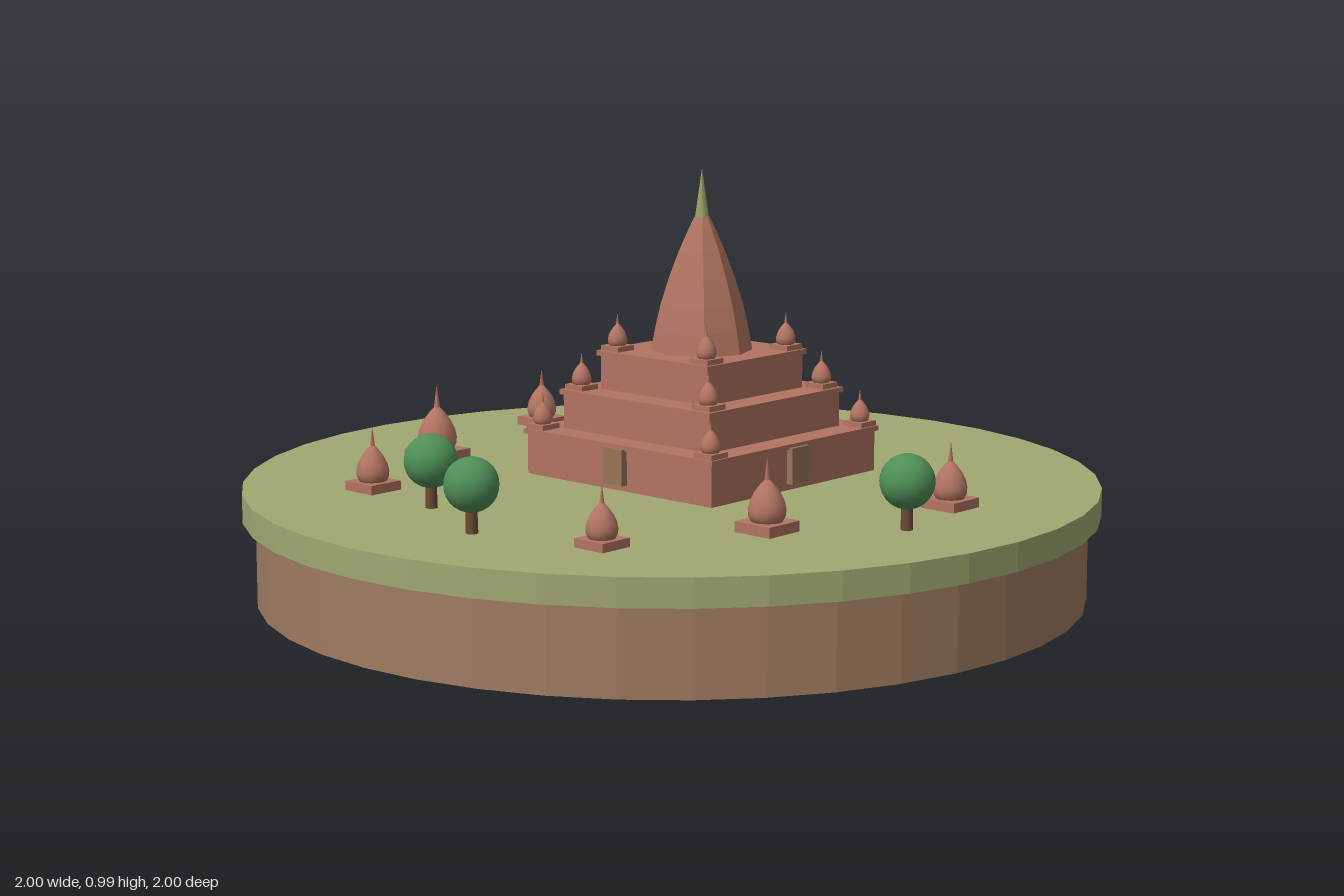
import * as THREE from 'three';

const mat = (name, color, flatShading = false) => {
  const m = new THREE.MeshStandardMaterial({ color, flatShading });
  m.name = name;
  return m;
};

export function createModel() {
  const brick = mat('brick', 0xb27462);
  const earth = mat('earth', 0xa07c60);
  const grass = mat('grass', 0xa0a872);
  const finialColor = mat('finial olive', 0x9ca468);
  const leaf = mat('leaf green', 0x4f8f57);
  const bark = mat('bark', 0x6b4a38);
  const doorColor = mat('door wood', 0x98755a);

  const model = new THREE.Group();
  model.name = 'templeIsland';
  const GROUND = 0.265;

  const add = (parent, name, geo, material, x = 0, y = 0, z = 0) => {
    const mesh = new THREE.Mesh(geo, material);
    mesh.name = name;
    mesh.position.set(x, y, z);
    parent.add(mesh);
    return mesh;
  };
  const lathe = (pts, sides) =>
    new THREE.LatheGeometry(pts.map(([r, y]) => new THREE.Vector2(r, y)), sides);
  // flat-faced geometry with separate normals per facet
  const faceted = (geo) => {
    const g = geo.toNonIndexed();
    g.computeVertexNormals();
    return g;
  };

  // round island
  add(model, 'earthBase', faceted(new THREE.CylinderGeometry(0.97, 0.97, 0.2, 40)), earth, 0, 0.1, 0);
  add(model, 'grassDisc', faceted(new THREE.CylinderGeometry(1, 1, 0.065, 40)), grass, 0, 0.2325, 0);

  // small shrine: square plinth, egg-shaped bell, thin spike; s is the plinth width
  const bell = lathe([[0, 0.22], [0.34, 0.22], [0.41, 0.36], [0.42, 0.5], [0.38, 0.68],
    [0.29, 0.87], [0.17, 1.03], [0.06, 1.15], [0, 1.18]], 16);
  const plinth = new THREE.BoxGeometry(1, 0.24, 1);
  const spike = new THREE.ConeGeometry(0.07, 0.54, 8);
  const stupa = (parent, name, s, x, y, z) => {
    const g = new THREE.Group();
    g.name = name;
    add(g, 'plinth', plinth, brick, 0, 0.12, 0);
    add(g, 'bell', bell, brick);
    add(g, 'spike', spike, brick, 0, 1.38, 0);
    g.scale.setScalar(s);
    g.position.set(x, y, z);
    parent.add(g);
  };

  // stepped temple with corner shrines on each terrace
  const temple = new THREE.Group();
  temple.name = 'temple';
  temple.position.z = -0.105;
  model.add(temple);
  const tiers = [
    [0.29, GROUND, 0.372, 0.265],
    [0.23, 0.372, 0.465, 0.2],
    [0.168, 0.465, 0.557, 0.14],
  ];
  tiers.forEach(([half, y0, y1, corner], i) => {
    add(temple, `terrace${i + 1}`, new THREE.BoxGeometry(half * 2, y1 - y0, half * 2), brick, 0, (y0 + y1) / 2, 0);
    const w = half * 2 + 0.014;
    add(temple, `cornice${i + 1}`, new THREE.BoxGeometry(w, 0.012, w), brick, 0, y1 - 0.005, 0);
    for (const sx of [-1, 1])
      for (const sz of [-1, 1]) stupa(temple, 'cornerShrine', 0.055, sx * corner, y1, sz * corner);
  });

  // a door on each side of the lowest terrace
  for (let i = 0; i < 4; i++) {
    const a = (i * Math.PI) / 2;
    const door = add(temple, 'door', new THREE.BoxGeometry(0.06, 0.085, 0.03), doorColor,
      Math.sin(a) * 0.292, 0.3225, Math.cos(a) * 0.292);
    door.rotation.y = a;
  }

  // eight-sided curved tower and its finial
  add(temple, 'tower', faceted(lathe([[0.12, 0.555], [0.11, 0.61], [0.096, 0.67], [0.077, 0.73],
    [0.055, 0.79], [0.033, 0.84], [0.018, 0.872], [0, 0.875]], 8)), brick);
  add(temple, 'finial', new THREE.ConeGeometry(0.017, 0.12, 8), finialColor, 0, 0.927, 0);

  // shrines scattered on the grass
  [
    [-0.71, -0.283, 0.088], [-0.57, 0.215, 0.112], [-0.417, 0.562, 0.09],
    [0.68, -0.18, 0.092], [0.54, 0.285, 0.1], [0.38, 0.633, 0.083],
  ].forEach(([x, z, s]) => stupa(model, 'gardenShrine', s, x, GROUND, z));

  // round trees
  [[0.75, 0.065], [-0.175, 0.605], [0.08, 0.725]].forEach(([x, z]) => {
    const tree = new THREE.Group();
    tree.name = 'tree';
    add(tree, 'trunk', new THREE.CylinderGeometry(0.012, 0.014, 0.07, 8), bark, 0, 0.035, 0);
    add(tree, 'crown', new THREE.SphereGeometry(0.061, 20, 14), leaf, 0, 0.107, 0);
    tree.position.set(x, GROUND, z);
    model.add(tree);
  });

  return model;
}
